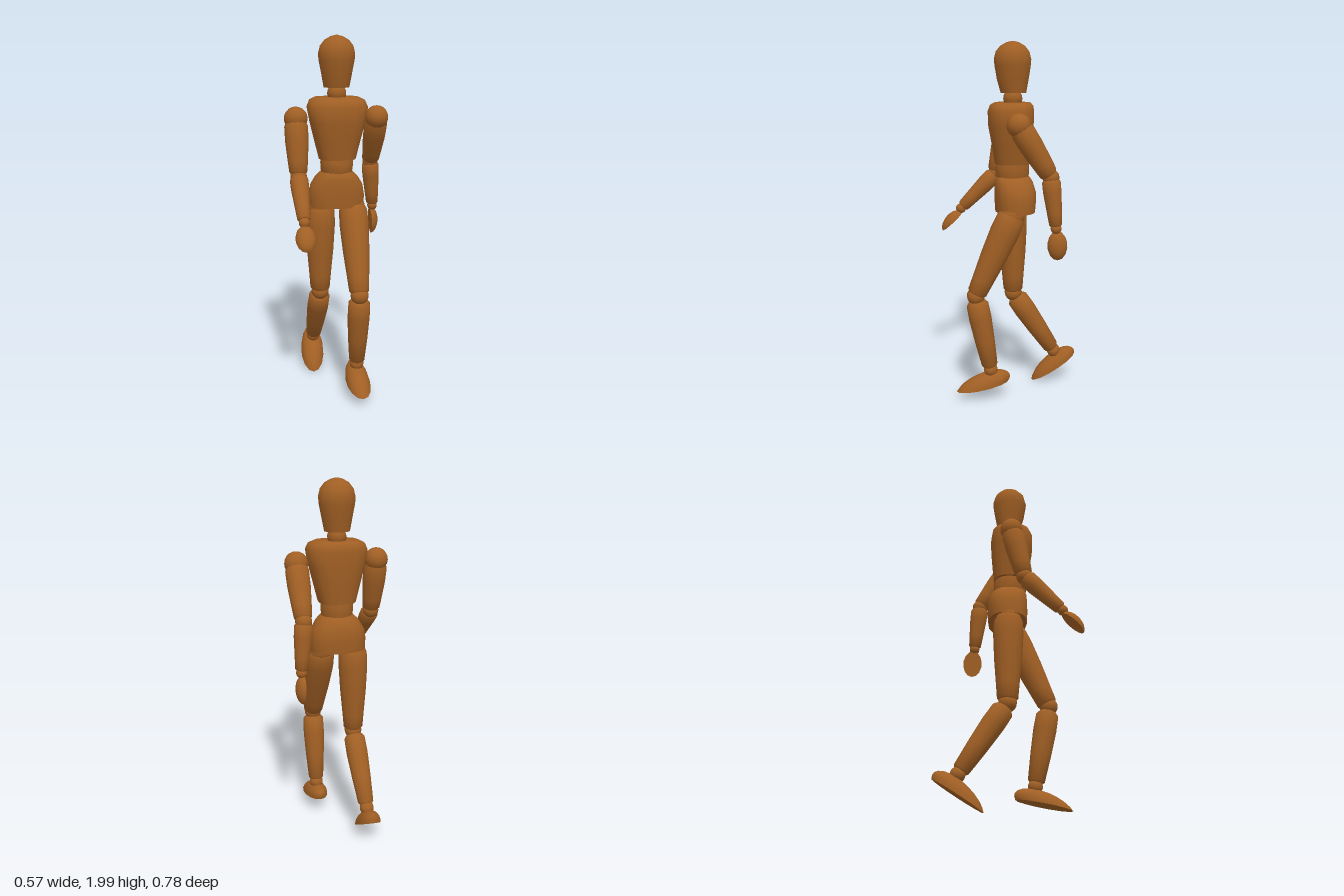
import * as THREE from 'three';
import { toCreasedNormals } from 'three/addons/utils/BufferGeometryUtils.js';

const wood = new THREE.MeshStandardMaterial({ color: 0xa05f24 });
wood.name = 'brown wood';
const V = (x, y, z) => new THREE.Vector3(x, y, z);

// Sharp rims, smooth sides (enlarged first so that close vertices stay apart)
function crease(geo) {
  geo.deleteAttribute('uv');
  return toCreasedNormals(geo.scale(100, 100, 100), 0.85).scale(0.01, 0.01, 0.01);
}

// Closed solid through rings [y, halfWidth, front, back], bottom to top; power > 2 squares it off
function loft(rings, power = 2, sides = 12) {
  const all = [[rings[0][0], 0, 0, 0], ...rings, [rings.at(-1)[0], 0, 0, 0]];
  const geo = new THREE.LatheGeometry(all.map(r => new THREE.Vector2(1, r[0])), sides);
  const pos = geo.attributes.position;
  const bend = c => Math.sign(c) * Math.abs(c) ** (2 / power);
  for (let i = 0; i < pos.count; i++) {
    const [, w, front, back] = all[i % all.length];
    const s = bend(pos.getX(i)), c = bend(pos.getZ(i));
    pos.setX(i, s * w);
    pos.setZ(i, (front - back) / 2 + c * (front + back) / 2);
  }
  return crease(geo);
}

export function createModel() {
  const model = new THREE.Group();
  model.name = 'jointedFigure';

  function add(name, geo, at) {
    const mesh = new THREE.Mesh(geo, wood);
    mesh.name = name;
    if (at) mesh.position.copy(at);
    model.add(mesh);
    return mesh;
  }
  const ball = (name, at, r) => add(name, new THREE.SphereGeometry(r, 14, 10), at);

  // Turned limb from a to b; profile is [fraction of the length, radius]
  function limb(name, a, b, profile) {
    const dir = b.clone().sub(a), len = dir.length();
    const rings = profile.map(([t, r]) => [-t * len, r, r, r]).reverse();
    add(name, loft(rings), a).quaternion.setFromUnitVectors(V(0, -1, 0), dir.normalize());
  }

  // Half egg with a flat sole or palm; its peak leans back by `lean`
  function halfEgg(name, at, normal, along, width, height, length, lean) {
    const arc = [new THREE.Vector2(0, 0)];
    for (let i = 0; i <= 6; i++) {
      const a = i / 6 * Math.PI / 2;
      arc.push(new THREE.Vector2(Math.cos(a), Math.sin(a)));
    }
    const geo = new THREE.LatheGeometry(arc, 14);
    const pos = geo.attributes.position;
    for (let i = 0; i < pos.count; i++) {
      const y = pos.getY(i);
      pos.setXYZ(i, pos.getX(i) * width / 2, y * height, pos.getZ(i) * length / 2 - lean * y);
    }
    const z = along.clone().normalize();
    const x = normal.clone().cross(z).normalize();
    const basis = new THREE.Matrix4().makeBasis(x, z.clone().cross(x), z);
    add(name, crease(geo), at).quaternion.setFromRotationMatrix(basis);
  }

  // Head, neck and trunk
  add('head', loft([
    [1.73, 0.07, 0.066, 0.073], [1.8, 0.083, 0.086, 0.086], [1.87, 0.097, 0.098, 0.097],
    [1.905, 0.1, 0.102, 0.1], [1.945, 0.09, 0.092, 0.09], [1.975, 0.066, 0.067, 0.066],
    [1.993, 0.034, 0.034, 0.034], [2, 0.006, 0.006, 0.006]]));
  ball('neck', V(0, 1.7, 0), 0.052);
  add('chest', loft([
    [1.35, 0.1, 0.1, 0.09], [1.45, 0.125, 0.115, 0.1], [1.55, 0.15, 0.133, 0.108],
    [1.63, 0.165, 0.135, 0.11], [1.665, 0.15, 0.122, 0.106], [1.68, 0.12, 0.095, 0.092]], 2.8, 16));
  add('waist', loft([
    [1.26, 0.083, 0.085, 0.085], [1.29, 0.089, 0.095, 0.09],
    [1.33, 0.092, 0.096, 0.091], [1.37, 0.085, 0.085, 0.085]]));
  add('pelvis', loft([
    [1.085, 0.154, 0.098, 0.12], [1.15, 0.156, 0.102, 0.126], [1.2, 0.147, 0.102, 0.125],
    [1.245, 0.12, 0.1, 0.112], [1.272, 0.094, 0.093, 0.096], [1.28, 0.08, 0.085, 0.085]], 2.4, 16));

  const upperArm = [[0.06, 0.055], [0.14, 0.064], [0.4, 0.063], [0.75, 0.054], [0.92, 0.049], [0.95, 0.042]];
  const forearm = [[0.05, 0.042], [0.09, 0.05], [0.3, 0.049], [0.7, 0.04], [0.92, 0.035], [0.95, 0.028]];
  const thigh = [[0, 0.07], [0.04, 0.08], [0.2, 0.083], [0.5, 0.075], [0.8, 0.062], [0.95, 0.056], [0.97, 0.048]];
  const shin = [[0.07, 0.046], [0.11, 0.061], [0.3, 0.063], [0.6, 0.056], [0.93, 0.045], [0.95, 0.038]];

  // Joint positions in mid stride
  const sides = [
    { side: 'left', shoulder: V(0.222, 1.568, 0), elbow: V(0.228, 1.3, -0.168), wrist: V(0.25, 1.03, -0.195),
      hip: V(0.089, 1.075, 0.015), knee: V(0.086, 0.625, 0.22), ankle: V(0.09, 0.185, 0.14) },
    { side: 'right', shoulder: V(-0.222, 1.568, 0), elbow: V(-0.22, 1.268, 0.07), wrist: V(-0.22, 1.065, 0.275),
      hip: V(-0.09, 1.075, -0.01), knee: V(-0.094, 0.58, -0.015), ankle: V(-0.1, 0.2, -0.262) },
  ];
  for (const { side, shoulder, elbow, wrist, hip, knee, ankle } of sides) {
    ball(side + 'Shoulder', shoulder, 0.064);
    limb(side + 'UpperArm', shoulder, elbow, upperArm);
    ball(side + 'Elbow', elbow, 0.045);
    limb(side + 'Forearm', elbow, wrist, forearm);
    ball(side + 'Wrist', wrist, 0.029);
    ball(side + 'Hip', hip, 0.068);
    limb(side + 'Thigh', hip, knee, thigh);
    ball(side + 'Knee', knee, 0.05);
    limb(side + 'Shin', knee, ankle, shin);
    ball(side + 'Ankle', ankle, 0.04);
  }

  // Hands with flat palms, feet with flat soles
  halfEgg('leftHand', V(0.241, 0.935, -0.205), V(1, 0, 0), V(0.06, -1, -0.04), 0.108, 0.045, 0.16, 0.01);
  halfEgg('rightHand', V(-0.22, 0.988, 0.326), V(0, 1, 1), V(0, -1, 1.1), 0.108, 0.045, 0.155, 0.01);
  halfEgg('leftFoot', V(0.088, 0.088, 0.185), V(0, 1, 0), V(0, -0.055, 0.3), 0.135, 0.075, 0.305, 0.06);
  halfEgg('rightFoot', V(-0.107, 0.093, -0.26), V(0, 1, 0), V(-0.02, -0.165, 0.26), 0.138, 0.075, 0.308, 0.06);

  return model;
}
